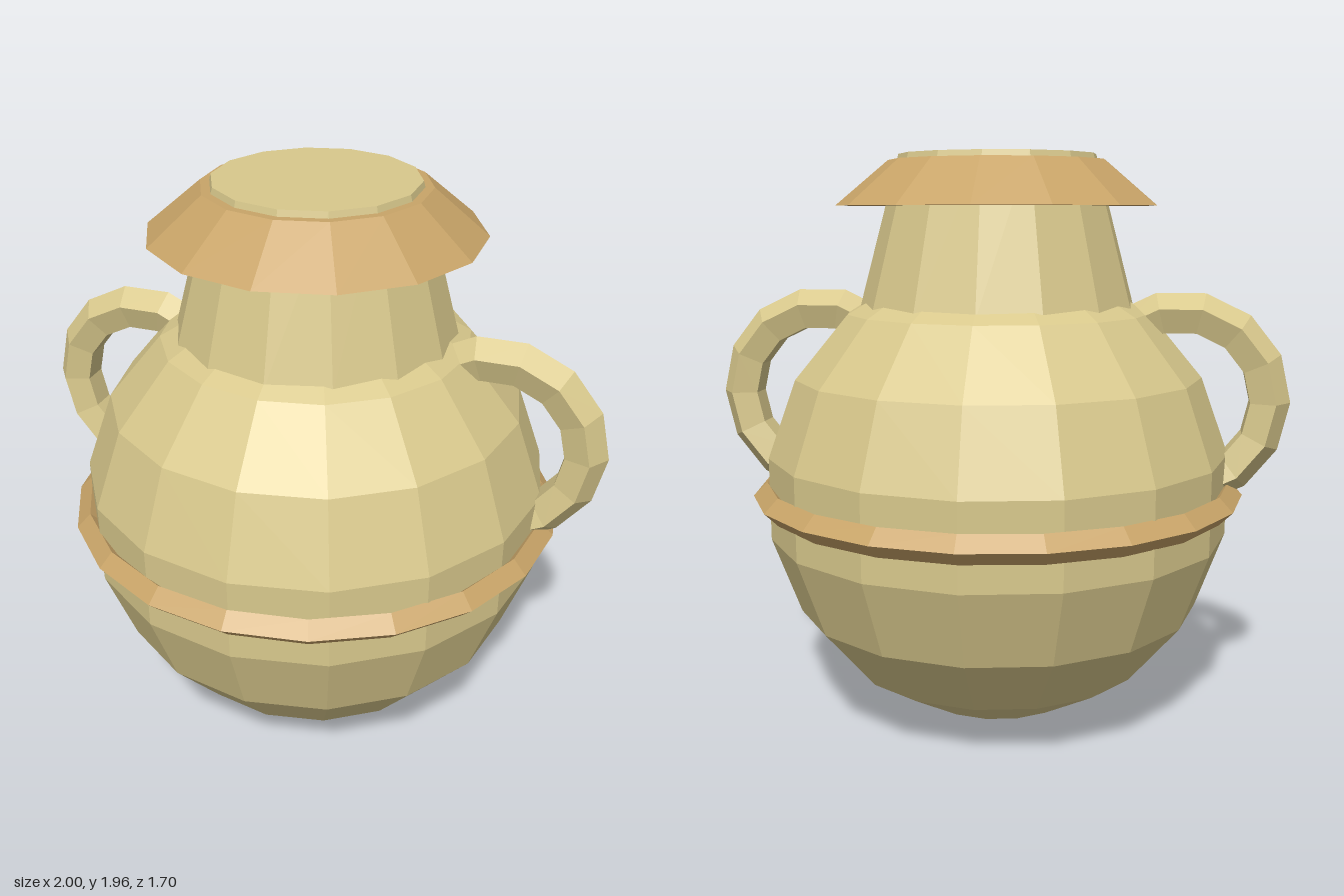
import * as THREE from 'three';

const clay = new THREE.MeshStandardMaterial({ color: 0xd8c88c, flatShading: true });
const trim = new THREE.MeshStandardMaterial({ color: 0xc8a468, flatShading: true });

function part(name, geometry, material, y = 0) {
  const mesh = new THREE.Mesh(geometry, material);
  mesh.name = name;
  mesh.position.y = y;
  return mesh;
}

// Cylinder given by its bottom and top heights
function frustum(name, rTop, rBottom, y0, y1, material) {
  const geometry = new THREE.CylinderGeometry(rTop, rBottom, y1 - y0, 14);
  return part(name, geometry, material, (y0 + y1) / 2);
}

export function createModel() {
  const jar = new THREE.Group();
  jar.name = 'jar';

  // Round body, tapered neck and flared rim
  jar.add(part('body', new THREE.SphereGeometry(0.81, 16, 9), clay, 0.81));
  jar.add(frustum('neck', 0.335, 0.475, 1.44, 1.96, clay));
  jar.add(frustum('rim', 0.37, 0.55, 1.79, 1.94, trim));

  // Diamond-section band around the middle
  const band = new THREE.TorusGeometry(0.805, 0.047, 4, 20).rotateX(Math.PI / 2);
  jar.add(part('band', band, trim, 0.81));

  // Five-sided curved handles, their ends buried in the body
  const step = (Math.PI * 2) / 14;
  const loop = new THREE.TorusGeometry(0.3, 0.075, 5, 8, step * 8)
    .rotateZ(-step * 3)
    .translate(0.625, 1.135, 0);
  for (const [name, turn] of [['leftHandle', 0], ['rightHandle', Math.PI]]) {
    const handle = part(name, loop, clay);
    handle.rotation.y = turn;
    jar.add(handle);
  }

  return jar;
}
